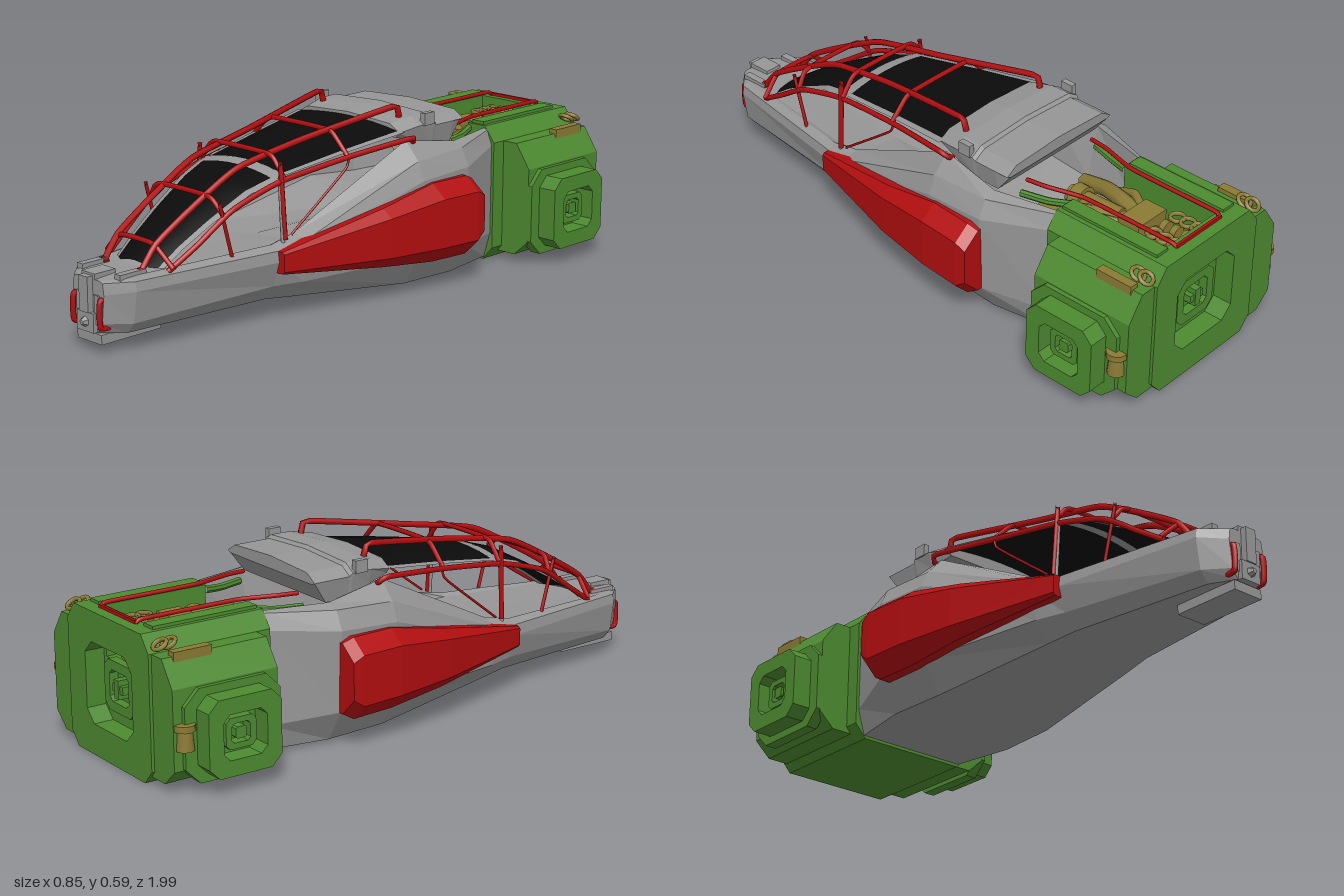
import * as THREE from 'three';

const paint = (name, color, side = THREE.FrontSide) =>
  Object.assign(new THREE.MeshStandardMaterial({ color, side }), { name });

export function createModel() {
  const model = new THREE.Group();
  model.name = 'racingCraft';
  const grey = paint('hullGrey', 0x969696, THREE.DoubleSide);
  const black = paint('glassBlack', 0x0b0b0b, THREE.DoubleSide);
  const red = paint('cageRed', 0xb20e10);
  const green = paint('engineGreen', 0x4d8a30);
  const brass = paint('brass', 0x8a7a34);

  // ---- helpers ----
  function add(name, geo, mat, flat = true) {
    if (flat) {
      if (geo.index) geo = geo.toNonIndexed();
      geo.computeVertexNormals();
    }
    const mesh = new THREE.Mesh(geo, mat);
    mesh.name = name;
    model.add(mesh);
    return mesh;
  }
  // adds the part on the left and its reflection on the right
  function pair(name, geo, mat, flat = true) {
    geo = geo.index ? geo.toNonIndexed() : geo;
    const m = geo.clone().scale(-1, 1, 1);
    for (const key of ['position', 'normal']) {
      const a = m.attributes[key];
      if (!a) continue;
      for (let i = 0; i < a.count; i += 3) {
        const p = new THREE.Vector3().fromBufferAttribute(a, i + 1);
        const q = new THREE.Vector3().fromBufferAttribute(a, i + 2);
        a.setXYZ(i + 1, q.x, q.y, q.z);
        a.setXYZ(i + 2, p.x, p.y, p.z);
      }
    }
    add(name + 'Left', geo, mat, flat);
    add(name + 'Right', m, mat, flat);
  }
  const box = (w, h, d, x, y, z) => new THREE.BoxGeometry(w, h, d).translate(x, y, z);
  const cyl = (r1, r2, h, x, y, z, n = 14) =>
    new THREE.CylinderGeometry(r1, r2, h, n).rotateX(Math.PI / 2).translate(x, y, z);
  const tube = (pts, r, type = 'catmullrom') => new THREE.TubeGeometry(
    new THREE.CatmullRomCurve3(pts.map(p => new THREE.Vector3(...p)), false, type, 0.3), pts.length * 6, r, 7);
  const whole = half => half.concat(half.filter(p => p[0] > 0).reverse().map(([x, y]) => [-x, y]));
  // skins counter-clockwise rings ordered front to back, and caps both ends
  function loft(sections) {
    const pos = [], idx = [], n = sections[0].ring.length;
    for (const { z, ring } of sections) for (const [x, y] of ring) pos.push(x, y, z);
    for (let s = 0; s < sections.length - 1; s++) for (let i = 0; i < n; i++) {
      const a = s * n + i, b = s * n + (i + 1) % n;
      idx.push(a, a + n, b, a + n, b + n, b);
    }
    const cap = s => THREE.ShapeUtils.triangulateShape(sections[s].ring.map(p => new THREE.Vector2(...p)), []);
    const end = sections.length - 1;
    for (const [a, b, c] of cap(0)) idx.push(a, b, c);
    for (const [a, b, c] of cap(end)) idx.push(end * n + a, end * n + c, end * n + b);
    const g = new THREE.BufferGeometry();
    g.setAttribute('position', new THREE.Float32BufferAttribute(pos, 3));
    return g.setIndex(idx);
  }
  const oct = (w, h, c) => [[-w + c, -h], [w - c, -h], [w, -h + c], [w, h - c], [w - c, h], [-w + c, h], [-w, h - c], [-w, -h + c]];
  function extrude(points, depth, hole) {
    const shape = new THREE.Shape(points.map(p => new THREE.Vector2(...p)));
    if (hole) shape.holes.push(new THREE.Path(hole.map(p => new THREE.Vector2(...p))));
    return new THREE.ExtrudeGeometry(shape, { depth, bevelEnabled: false });
  }

  // ---- hull with open cockpit trough ----
  const hull = [
    [0.97, [[0, .07], [.04, .07], [.06, .1], [.07, .19], [.065, .225], [.05, .23], [.03, .23], [0, .23]]],
    [0.9, [[0, .065], [.09, .065], [.12, .1], [.135, .2], [.13, .23], [.11, .235], [.09, .235], [0, .235]]],
    [0.4, [[0, .07], [.15, .07], [.19, .12], [.215, .2], [.21, .235], [.18, .25], [.16, .24], [0, .235]]],
    [0.3, [[0, .06], [.165, .06], [.22, .12], [.235, .215], [.225, .25], [.18, .27], [.165, .24], [0, .23]]],
    [-0.15, [[0, .017], [.225, .017], [.29, .12], [.305, .37], [.28, .43], [.225, .49], [.2, .3], [0, .24]]],
    [-0.36, [[0, .015], [.235, .015], [.3, .12], [.308, .38], [.28, .44], [.24, .455], [.2, .28], [0, .24]]],
    [-0.57, [[0, .015], [.2, .015], [.225, .1], [.225, .4], [.205, .45], [.19, .455], [.18, .28], [0, .24]]],
  ];
  add('hull', loft(hull.map(([z, half]) => ({ z, ring: whole(half) }))), grey);

  // ---- roof ----
  const roof = (z, w, top, low) => ({ z, ring: whole([[0, low], [w - .015, low], [w, top - .035], [w - .04, top - .01], [0, top]]) });
  add('roof', loft([roof(-.12, .225, .552, .5), roof(-.2, .24, .566, .48), roof(-.27, .242, .566, .455),
    roof(-.28, .238, .556, .45), roof(-.36, .238, .556, .45), roof(-.41, .238, .556, .515)]), grey);
  pair('roofLug', box(.02, .04, .045, .235, .548, -.24), grey);

  // ---- canopy: glass and frame follow one curved surface ----
  const canopy = [[.84, .215, .08], [.79, .245, .087], [.7, .31, .1], [.6, .37, .115], [.465, .44, .135],
    [.36, .472, .156], [.1, .512, .188], [-.13, .542, .217]];
  function canopyAt(z, t) {
    let i = 0;
    while (i < canopy.length - 2 && z < canopy[i + 1][0]) i++;
    const [za, ya, wa] = canopy[i], [zb, yb, wb] = canopy[i + 1], f = (z - za) / (zb - za);
    return [t * (wa + (wb - wa) * f), ya + (yb - ya) * f - .018 * t * t, z];
  }
  function panel(z0, z1, t0, t1, nz = 14, nt = 8) {
    const g = new THREE.PlaneGeometry(1, 1, nt, nz), p = g.attributes.position;
    for (let i = 0; i < p.count; i++)
      p.setXYZ(i, ...canopyAt(z1 + (z0 - z1) * (.5 - p.getY(i)), t0 + (t1 - t0) * (p.getX(i) + .5)));
    g.computeVertexNormals();
    return g;
  }
  add('frontGlass', panel(.79, .375, -1, 1), black, false);
  add('rearGlass', panel(.335, -.12, -1, 1), black, false);
  add('canopySill', panel(.83, .79, -1.17, 1.17, 2), grey, false);
  add('canopyArch', panel(.375, .335, -1.17, 1.17, 2), grey, false);
  add('canopyRearEdge', panel(-.12, -.13, -1.1, 1.1, 1), grey, false);
  pair('canopyFrame', panel(.79, .375, 1, 1.17, 14, 1), grey, false);
  pair('canopyRearFrame', panel(.335, -.12, 1, 1.1, 10, 1), grey, false);
  pair('canopyPost', tube([[.178, .45, .36], [.19, .25, .36]], .007), grey, false);

  // ---- red roll cage ----
  pair('upperRail', tube([[.083, .235, .84], [.085, .31, .78], [.09, .39, .65], [.098, .485, .465], [.115, .535, .2],
    [.165, .588, -.14], [.17, .58, -.17], [.168, .54, -.18]], .01), red, false);
  pair('lowerRail', tube([[.135, .235, .78], [.155, .3, .68], [.17, .385, .55], [.18, .44, .36], [.21, .475, .1],
    [.25, .5, -.14], [.245, .49, -.17], [.22, .475, -.17]], .009), red, false);
  const bars = [[.78, .31, .09, .15, .245, .77], [.59, .425, .13, .165, .37, .58], [.35, .515, .14, .185, .45, .35], [.1, .55, .15, .21, .48, .1]];
  for (const [z, y, a, b, low, zl] of bars)
    add('cageCrossBar', tube([[-b, low, zl], [-a, y - .01, z], [-a + .03, y, z], [0, y + .002, z], [a - .03, y, z], [a, y - .01, z], [b, low, zl]], .008), red, false);
  pair('cageStrut', tube([[.18, .5, .36], [.195, .26, .355]], .008), red, false);
  pair('cageFrontStrut', tube([[.165, .42, .6], [.165, .24, .55]], .006), red, false);
  pair('cageBrace', tube([[.21, .48, .1], [.212, .44, .11], [.195, .27, .33]], .004), red, false);
  pair('cageFoot', cyl(.014, .014, .02, .083, .237, .84, 10), red);

  // ---- nose fittings ----
  add('noseSpine', box(.04, .11, .05, 0, .185, .965), grey);
  add('noseCap', box(.06, .03, .08, 0, .232, .93), grey);
  add('noseLatch', box(.075, .06, .04, 0, .1, .965), grey);
  add('noseTip', cyl(.008, .025, .03, 0, .1, .985, 6), grey);
  add('noseSkid', box(.11, .03, .23, 0, .05, .855), grey);
  pair('noseHinge', box(.02, .09, .04, .04, .14, .955), grey);
  pair('noseRib', box(.025, .02, .1, .085, .238, .88), grey);
  pair('noseHandle', tube([[.06, .175, .94], [.06, .172, .975], [.06, .15, .98], [.06, .11, .98], [.06, .088, .975], [.06, .085, .94]], .009), red, false);

  // ---- red side pods ----
  const podSection = (z, xi, xo, y0, y1, c) => ({ z, ring: [[xi, y0], [xo - c, y0], [xo, y0 + c], [xo, y1 - c * .8], [xo - c, y1], [xi, y1]] });
  pair('sidePod', loft([podSection(.4, .2, .237, .165, .235, .008), podSection(.03, .23, .335, .125, .315, .035),
    podSection(-.18, .25, .37, .102, .36, .055), podSection(-.33, .25, .38, .1, .36, .055), podSection(-.365, .25, .376, .12, .345, .06)]), red);

  // ---- engine block with open top bay ----
  const outer = [[0, .005], [.195, .005], [.235, .05], [.235, .41], [.195, .462]];
  add('engineBlock', extrude(whole([[0, .005], [.195, .005], [.235, .05], [.235, .41], [.195, .462], [.12, .462], [.12, .3], [0, .3]]),
    .355).translate(0, 0, -.925), green);
  const at = (pts, x, y) => pts.map(p => [p[0] + x, p[1] + y]);
  add('backPlate', extrude(whole([...outer, [0, .462]]), .065, at(oct(.135, .13, .04), 0, .235)).translate(0, 0, -.99), green);
  add('backNozzleRing', extrude(at(oct(.085, .08, .025), 0, .235), .03, at(oct(.055, .05, .015), 0, .235)).translate(0, 0, -.955), green);
  add('backNozzleCore', box(.06, .025, .04, 0, .235, -.94), green);
  add('backNozzleCoreUpright', box(.025, .06, .04, 0, .235, -.945), green);
  pair('engineShoulder', extrude([[.2, .03], [.29, .03], [.345, .08], [.345, .33], [.29, .41], [.2, .41]], .36).translate(0, 0, -.98), green);
  pair('bayRim', box(.05, .012, .36, .155, .466, -.76), green);
  pair('bayLip', tube([[.125, .445, -.57], [.15, .435, -.5], [.175, .435, -.41]], .012), green);

  // ---- side thrusters ----
  const thruster = (w, h, c, depth, x, hole) =>
    extrude(oct(w, h, c), depth, hole).rotateY(Math.PI / 2).translate(x, .18, -.785);
  pair('thrusterBase', thruster(.165, .145, .05, .04, .32), green);
  pair('thrusterCap', thruster(.125, .12, .035, .07, .355, oct(.075, .07, .022)), green);
  pair('thrusterRing', thruster(.052, .048, .014, .045, .355, oct(.032, .03, .009)), green);
  pair('thrusterCore', thruster(.018, .018, .005, .045, .355), green);
  pair('thrusterRib', box(.02, .11, .02, .35, .18, -.635), green);

  // ---- brass machinery in the bay ----
  add('engineCore', cyl(.035, .045, .3, 0, .36, -.78), brass, false);
  add('gearbox', box(.13, .08, .08, 0, .39, -.74), brass);
  add('intakePipe', cyl(.03, .035, .2, 0, .37, -.56), brass, false);
  add('intakeCollar', cyl(.045, .045, .04, 0, .37, -.5), brass, false);
  pair('splitPipe', tube([[.035, .385, -.7], [.05, .395, -.62], [.08, .38, -.53], [.1, .35, -.43]], .026), brass, false);
  pair('sidePipe', tube([[.05, .4, -.7], [.085, .41, -.64], [.095, .38, -.57]], .014), brass, false);
  for (const z of [-.91, -.87, -.83]) {
    pair('coil', new THREE.TorusGeometry(.022, .007, 6, 14).rotateX(Math.PI / 2).translate(.055, .43, z), brass, false);
    add('valve', cyl(.025, .025, .02, 0, .42, z), brass, false);
  }
  // brass fittings on the flanks
  pair('flankManifold', box(.03, .04, .13, .285, .405, -.88), brass);
  for (const z of [-.93, -.96])
    pair('flankLoop', new THREE.TorusGeometry(.022, .007, 6, 14).rotateX(1).translate(.25, .44, z), brass, false);
  pair('flankValve', new THREE.CylinderGeometry(.022, .028, .07, 12).translate(.35, .18, -.945), brass, false);
  pair('flankValveCap', new THREE.CylinderGeometry(.033, .033, .02, 12).translate(.35, .215, -.945), brass, false);

  // red rails above the bay
  pair('bayRail', tube([[.15, .472, -.41], [.14, .474, -.48], [.108, .475, -.6], [.105, .475, -.75], [.105, .475, -.93], [.1, .465, -.95]], .007), red, false);
  add('bayRailEnd', box(.21, .01, .01, 0, .468, -.95), red);

  return model;
}
